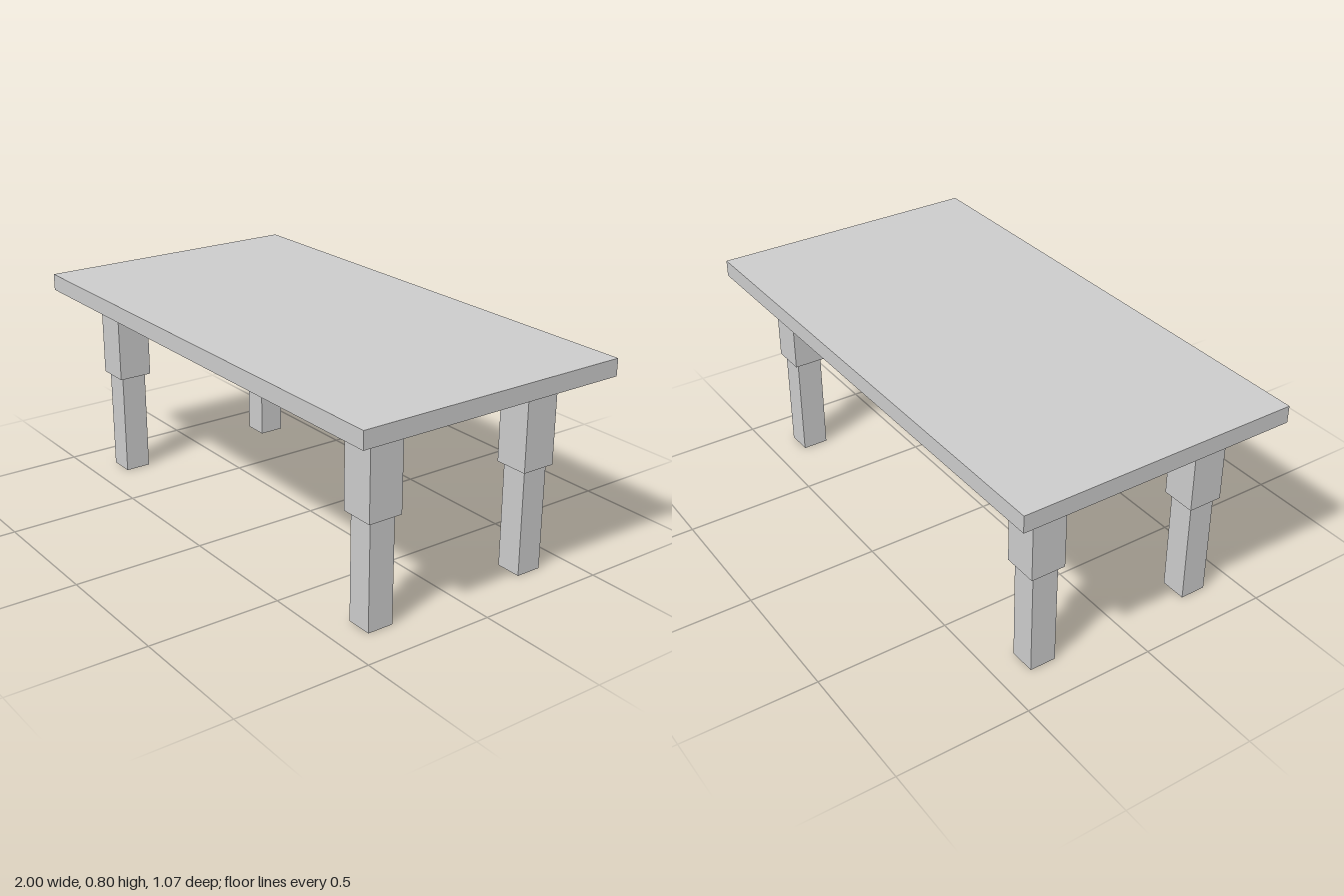
import * as THREE from 'three';

const material = new THREE.MeshStandardMaterial({ color: 0xcccccc, flatShading: true });

// Box standing on height y0 and reaching y1
function block(name, width, depth, y0, y1) {
  const mesh = new THREE.Mesh(new THREE.BoxGeometry(width, y1 - y0, depth), material);
  mesh.name = name;
  mesh.position.y = (y0 + y1) / 2;
  return mesh;
}

export function createModel() {
  const table = new THREE.Group();
  table.name = 'table';

  const topBottom = 0.736, topHeight = 0.8, step = 0.402;
  table.add(block('tableTop', 2, 1.067, topBottom, topHeight));

  // Four stepped legs: thick upper block, thinner lower post
  for (const [side, x] of [['Left', 0.8], ['Right', -0.8]]) {
    for (const [end, z] of [['front', 0.333], ['back', -0.333]]) {
      const leg = new THREE.Group();
      leg.name = `${end}${side}Leg`;
      leg.add(block('upperLeg', 0.132, 0.132, step, topBottom));
      leg.add(block('lowerLeg', 0.1, 0.1, 0, step));
      leg.position.set(x, 0, z);
      table.add(leg);
    }
  }
  return table;
}
